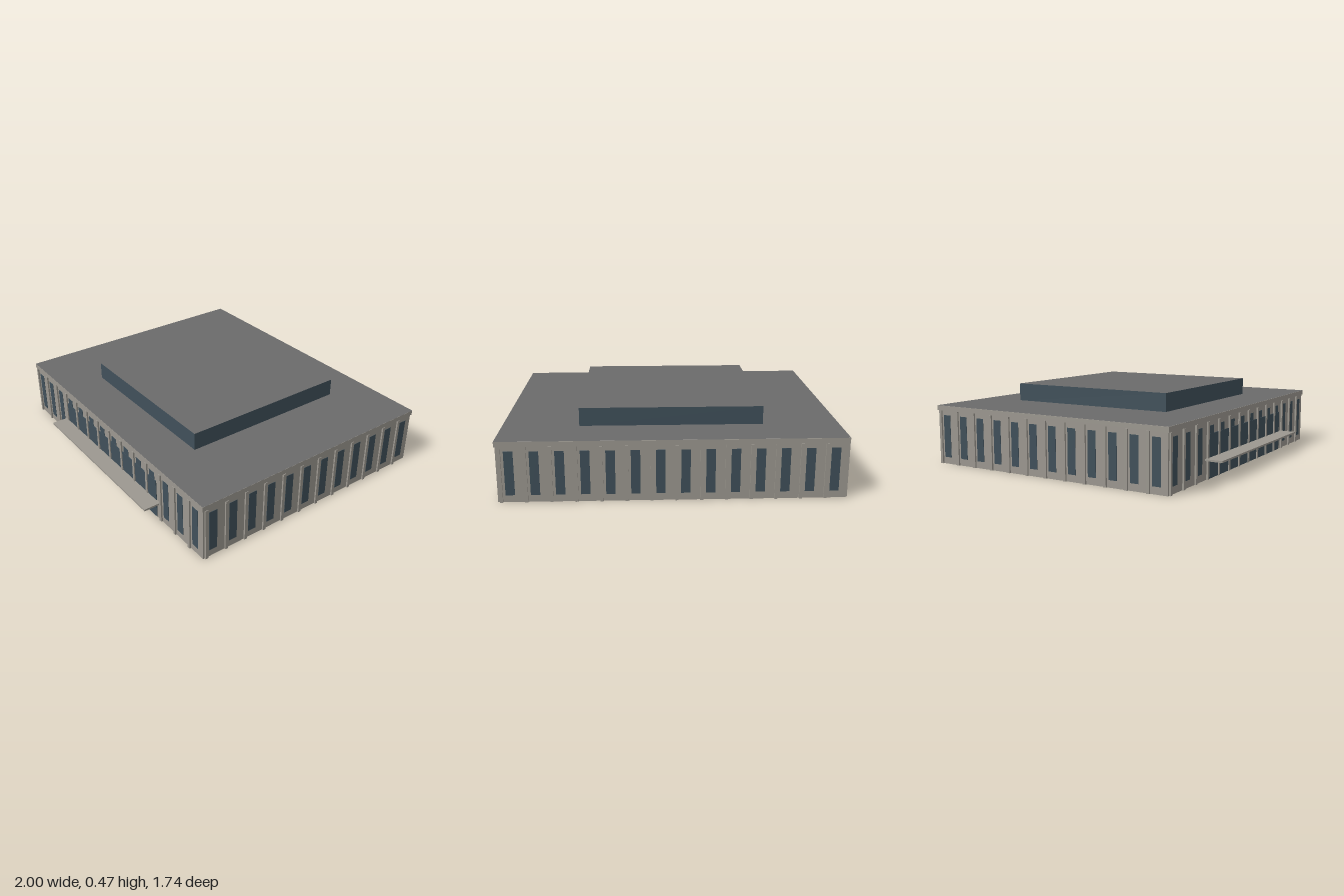
import * as THREE from 'three';

const material = (name, color, side = THREE.FrontSide) => {
  const m = new THREE.MeshStandardMaterial({ color, side });
  m.name = name;
  return m;
};

export function createModel() {
  const stone = material('stone', 0x9c9890);
  const glass = material('dark glass', 0x40505a);
  const roofing = material('grey roofing', 0x6b6b6b, THREE.DoubleSide);

  const X = 0.99, ZF = 0.76, ZB = -0.86; // wall faces
  const ZC = (ZF + ZB) / 2, DEPTH = ZF - ZB;
  const H = 0.36;

  const building = new THREE.Group();
  building.name = 'building';

  const add = (parent, name, geometry, mat, x, y, z) => {
    const mesh = new THREE.Mesh(geometry, mat);
    mesh.name = name;
    mesh.position.set(x, y, z);
    parent.add(mesh);
    return mesh;
  };
  const box = (parent, name, w, h, d, mat, x, y, z) =>
    add(parent, name, new THREE.BoxGeometry(w, h, d), mat, x, y, z);

  // Rectangular ring around the plan, open at top and bottom
  const ring = (name, grow, thickness, y0, y1) => {
    const rect = (Path, hx, hz) => new Path().moveTo(-hx, -hz)
      .lineTo(hx, -hz).lineTo(hx, hz).lineTo(-hx, hz).closePath();
    const hx = X + grow, hz = DEPTH / 2 + grow;
    const shape = rect(THREE.Shape, hx, hz);
    shape.holes.push(rect(THREE.Path, hx - thickness, hz - thickness));
    const geometry = new THREE.ExtrudeGeometry(shape, { depth: y1 - y0, bevelEnabled: false });
    geometry.rotateX(-Math.PI / 2);
    add(building, name, geometry, stone, 0, y0, ZC);
  };
  ring('outerWalls', 0, 0.003, 0, H);
  ring('cornice', 0.006, 0.006, 0.33, H);

  // One facade: local x runs left to right seen from outside, local z points outwards
  const facade = (name, length, bays, x, z, turn) => {
    const group = new THREE.Group();
    group.name = name;
    group.position.set(x, 0, z);
    group.rotation.y = turn;
    building.add(group);
    const bay = length / bays;
    for (let i = 0; i < bays; i++) {
      const start = -length / 2 + i * bay;
      box(group, 'window', 0.053, 0.26, 0.002, glass, start + bay / 2, 0.172, 0.001);
      box(group, 'fin', 0.018, 0.33, 0.01, stone, start + 0.02, 0.165, 0.005);
    }
    return group;
  };
  const front = facade('frontFacade', 2 * X, 14, 0, ZF, 0);
  facade('leftFacade', DEPTH, 12, X, ZC, Math.PI / 2);
  facade('backFacade', 2 * X, 14, 0, ZB, Math.PI);
  facade('rightFacade', DEPTH, 12, -X, ZC, -Math.PI / 2);

  // Entrance glazing and the canopy above it
  box(front, 'entranceGlazing', 1.08, 0.256, 0.004, glass, 0, 0.128, 0.002);
  box(front, 'canopy', 1.15, 0.011, 0.107, stone, 0, 0.116, 0.0535);

  // Flat roof sheet
  const sheet = new THREE.PlaneGeometry(2 * X + 0.012, DEPTH + 0.012);
  sheet.rotateX(-Math.PI / 2);
  add(building, 'roof', sheet, roofing, 0, H + 0.001, ZC);

  // Glazed rooftop storey with a grey top
  box(building, 'rooftopStorey', 1.084, 0.109, 1.084,
    [glass, glass, roofing, roofing, glass, glass], 0, H + 0.0565, ZC);

  return building;
}
